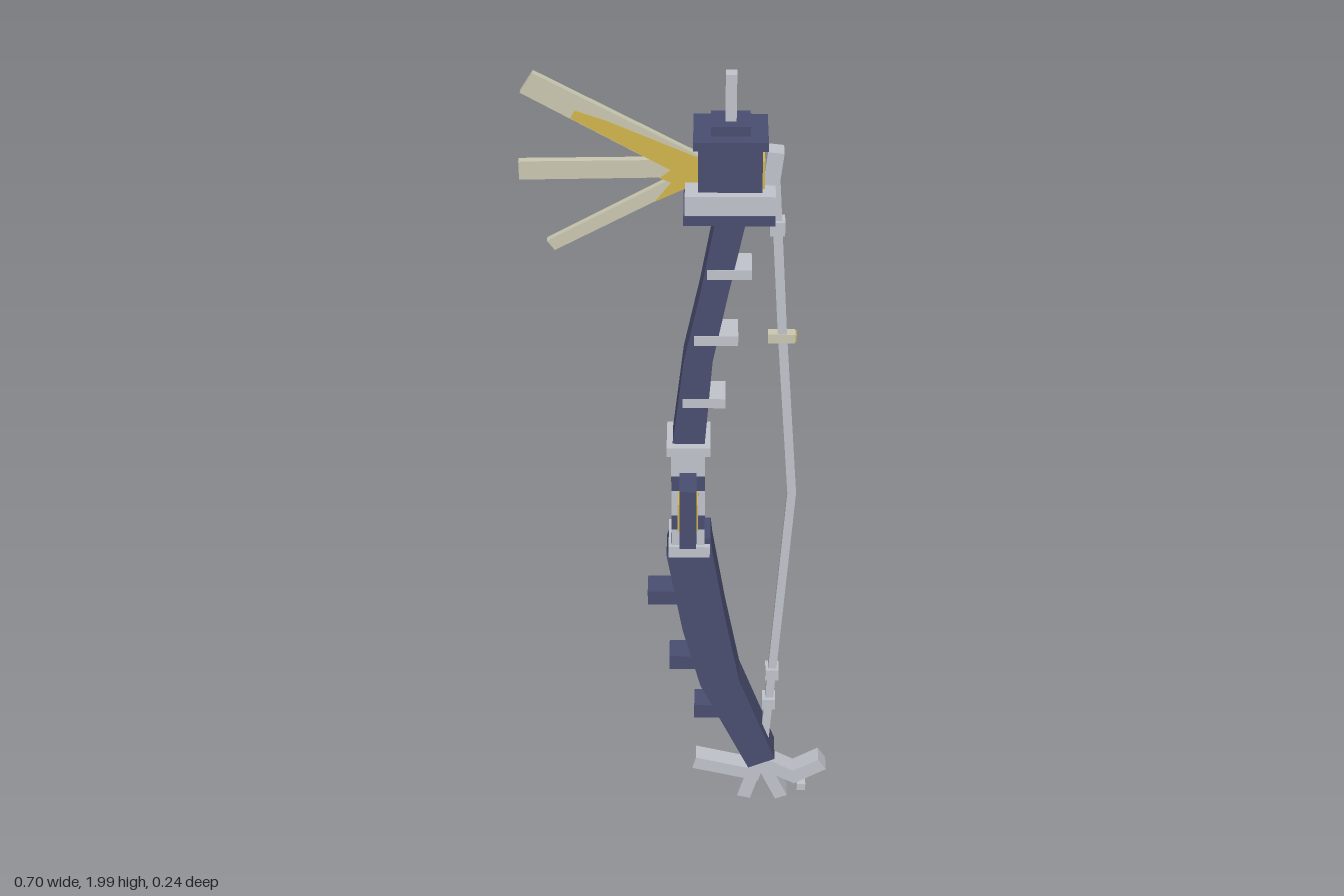
import * as THREE from 'three';

const mat = (name, color) => {
  const m = new THREE.MeshStandardMaterial({ color });
  m.name = name;
  return m;
};

export function createModel() {
  const model = new THREE.Group();
  const navy = mat('navy', 0x4a4e70), silver = mat('silver', 0xbfc2ca);
  const gold = mat('gold', 0xd0b44c), ivory = mat('ivory', 0xc9c7b0);

  const add = (name, geometry, material) => {
    const mesh = new THREE.Mesh(geometry, material);
    mesh.name = name;
    model.add(mesh);
    return mesh;
  };
  // Box given by its x, y extents and half depth, centred on zc
  const box = (name, m, x0, x1, y0, y1, hz, zc = 0) =>
    add(name, new THREE.BoxGeometry(x1 - x0, y1 - y0, hz * 2), m)
      .position.set((x0 + x1) / 2, (y0 + y1) / 2, zc);
  // Flat outline extruded symmetrically about z = 0
  const slab = (name, m, points, hz) => {
    const shape = new THREE.Shape(points.map(p => new THREE.Vector2(...p)));
    const g = new THREE.ExtrudeGeometry(shape, { depth: hz * 2, bevelEnabled: false });
    add(name, g.translate(0, 0, -hz), m);
  };
  // Straight square bar between two points in the xy plane
  const bar = (name, m, [ax, ay], [bx, by], w, hz) => {
    const mesh = add(name, new THREE.BoxGeometry(Math.hypot(bx - ax, by - ay), w, hz * 2), m);
    mesh.position.set((ax + bx) / 2, (ay + by) / 2, 0);
    mesh.rotation.z = Math.atan2(by - ay, bx - ax);
  };

  // Curved limbs
  slab('upperLimb', navy, [[-0.036, 1.1], [0.036, 1.1], [0.053, 1.33], [0.085, 1.5], [0.125, 1.7],
    [0.06, 1.7], [0.025, 1.5], [-0.01, 1.33]], 0.035);
  slab('lowerLimb', navy, [[0.15, 0.13], [0.215, 0.16], [0.124, 0.415], [0.087, 0.615], [0.056, 0.81],
    [0.052, 0.85], [-0.035, 0.85], [-0.05, 0.8], [-0.013, 0.575], [0.03, 0.4]], 0.04);

  // Bands on the upper limb, pegs on the lower limb
  for (const [x, y] of [[0.04, 1.55], [0.013, 1.385], [-0.013, 1.222]])
    box('limbBand', silver, x, x + 0.095, y - 0.012, y + 0.012, 0.036);
  for (const [x, y] of [[-0.095, 0.665], [-0.045, 0.465], [0.015, 0.308]])
    box('limbPeg', navy, x, x + 0.09, y - 0.02, y + 0.02, 0.03);

  // Grip core in alternating sections, with collars
  for (const [m, y0, y1] of [[silver, 0.8, 0.88], [navy, 0.88, 0.92], [silver, 0.92, 0.99],
    [navy, 0.99, 1.03], [silver, 1.03, 1.1]])
    box('gripSection', m, -0.038, 0.038, y0, y1, 0.045);
  box('upperCollar', silver, -0.048, 0.05, 1.09, 1.113, 0.053);
  box('lowerCollar', silver, -0.045, 0.05, 0.805, 0.835, 0.053);

  // Side guards with gold inlays
  for (const s of [1, -1]) {
    box('sideGuard', navy, -0.019, 0.019, 0.88, 1.04, 0.039, s * 0.079);
    for (const t of [1, -1])
      box('guardInlay', gold, t * 0.02 - 0.003, t * 0.02 + 0.003, 0.92, 0.995, 0.025, s * 0.08);
  }

  // Stepped head
  box('headPlate', navy, -0.01, 0.18, 1.69, 1.712, 0.075);
  box('headBase', silver, -0.007, 0.18, 1.712, 1.756, 0.071);
  box('headBody', navy, 0.02, 0.152, 1.756, 1.856, 0.053);
  box('headCap', navy, 0.01, 0.163, 1.856, 1.876, 0.065);
  box('headStep', navy, 0.046, 0.127, 1.876, 1.897, 0.037);
  box('spike', silver, 0.075, 0.098, 1.897, 2, 0.013);
  box('headWindow', gold, 0.151, 0.157, 1.762, 1.825, 0.048);

  // Fan of three blades with gold roots
  const hz = 0.008;
  slab('upperBlade', ivory, [[-0.34, 1.957], [0.02, 1.75], [0.02, 1.818], [-0.313, 2]], hz);
  slab('middleBlade', ivory, [[-0.35, 1.76], [0.02, 1.768], [0.02, 1.808], [-0.35, 1.802]], hz);
  slab('lowerBlade', ivory, [[-0.282, 1.593], [0.02, 1.76], [0.02, 1.795], [-0.298, 1.615]], hz);
  slab('upperBladeRoot', gold, [[-0.24, 1.901], [0.022, 1.75], [0.022, 1.812], [-0.17, 1.897], [-0.23, 1.918]], hz + 0.001);
  slab('bladeRoots', gold, [[-0.07, 1.71], [0.022, 1.755], [0.022, 1.815], [-0.07, 1.806], [-0.035, 1.785], [-0.06, 1.765], [-0.035, 1.755]], hz + 0.001);

  // Bowed cord with top anchor and beads
  const cord = [[0.178, 1.8], [0.203, 1.4], [0.236, 0.96], [0.208, 0.5], [0.19, 0.2]];
  for (let i = 1; i < cord.length; i++) bar('cord', silver, cord[i - 1], cord[i], 0.02, 0.01);
  bar('cordAnchor', silver, [0.17, 1.745], [0.18, 1.83], 0.034, 0.02);
  for (const [x, y] of [[0.187, 1.65], [0.203, 0.415], [0.197, 0.32]])
    box('cordBead', silver, x - 0.016, x + 0.016, y - 0.016, y + 0.016, 0.018);
  box('cordCrossbar', ivory, 0.173, 0.232, 1.365, 1.387, 0.012);
  box('crossbarTip', gold, 0.23, 0.235, 1.367, 1.385, 0.01);

  // Branching claw at the foot
  for (const [a, b, w] of [
    [[0.18, 0.085], [0.015, 0.128], 0.036],
    [[0.175, 0.14], [0.14, 0.012], 0.034],
    [[0.18, 0.14], [0.235, 0.012], 0.032],
    [[0.18, 0.13], [0.275, 0.075], 0.036],
    [[0.255, 0.075], [0.335, 0.125], 0.038],
  ]) bar('clawBranch', silver, a, b, w, 0.022);
  box('clawChip', silver, 0.274, 0.296, 0.026, 0.048, 0.012);

  return model;
}
